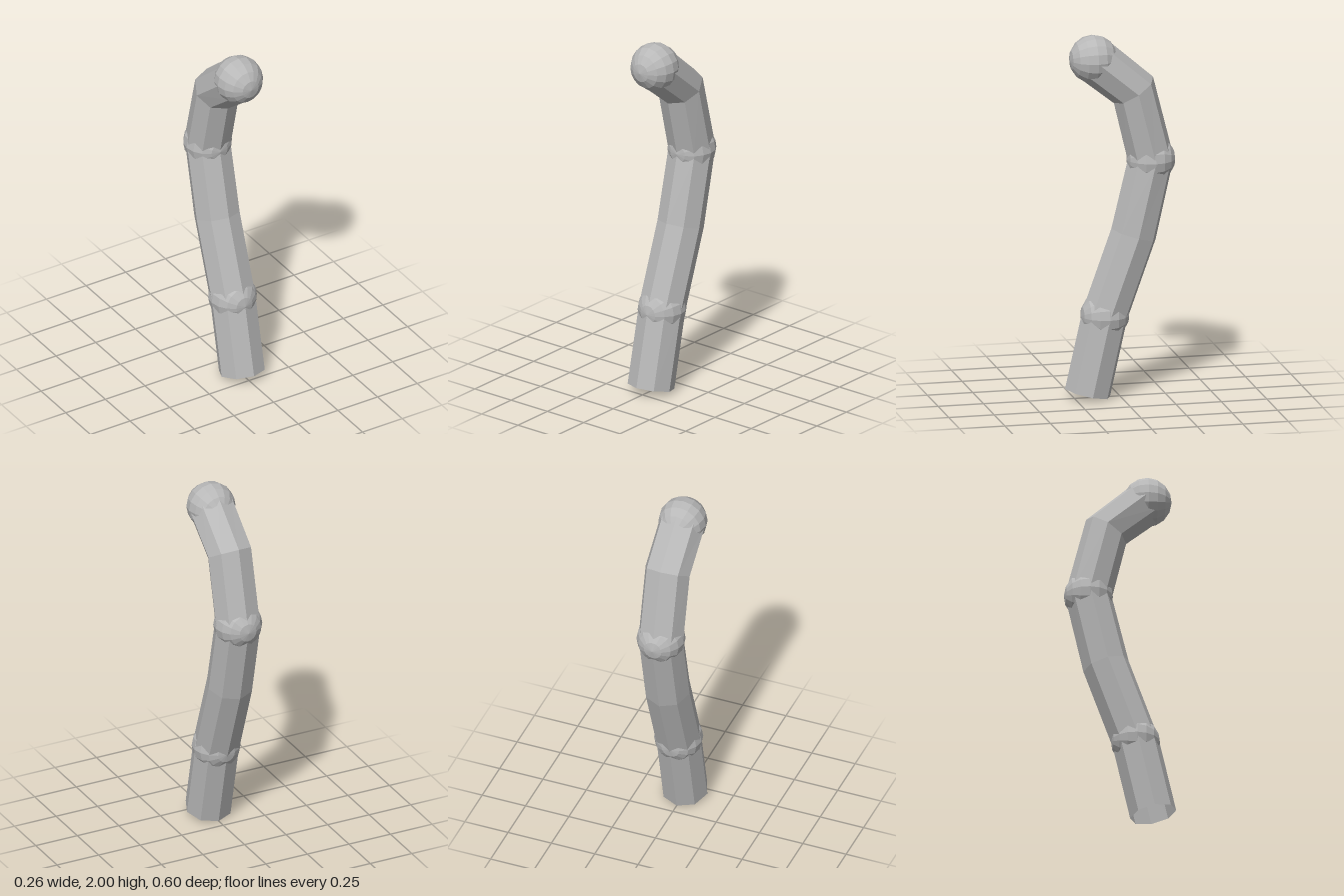
import * as THREE from 'three';

const RADIUS = 0.127;
const SIDES = 8;

// Sweeps an open octagonal tube through points lying in the x = 0 plane
function bentTube(path) {
  const positions = [], index = [];
  const across = new THREE.Vector3(1, 0, 0);
  path.forEach((p, i) => {
    // Each ring faces the average of its neighbouring segments
    const tangent = new THREE.Vector3();
    if (i > 0) tangent.add(p.clone().sub(path[i - 1]).normalize());
    if (i < path.length - 1) tangent.add(path[i + 1].clone().sub(p).normalize());
    const normal = across.clone().cross(tangent.normalize());
    for (let j = 0; j < SIDES; j++) {
      const a = (j / SIDES) * Math.PI * 2;
      const v = p.clone()
        .addScaledVector(across, Math.sin(a) * RADIUS)
        .addScaledVector(normal, Math.cos(a) * RADIUS);
      positions.push(v.x, v.y, v.z);
      if (i < path.length - 1) {
        const k = i * SIDES, n = (j + 1) % SIDES;
        index.push(k + j, k + n, k + SIDES + n, k + j, k + SIDES + n, k + SIDES + j);
      }
    }
  });
  const geometry = new THREE.BufferGeometry();
  geometry.setAttribute('position', new THREE.Float32BufferAttribute(positions, 3));
  geometry.setIndex(index);
  geometry.computeVertexNormals();
  return geometry;
}

export function createModel() {
  const group = new THREE.Group();
  group.name = 'bentPipe';
  const grey = new THREE.MeshStandardMaterial({
    color: 0xb8b8b8, flatShading: true, side: THREE.DoubleSide,
  });
  grey.name = 'grey';

  // Centre line from the open foot to the tip, as y, z
  const path = [
    [0.027, 0.178], [0.45, 0.083], [0.89, -0.075],
    [1.3, -0.17], [1.685, -0.075], [1.868, 0.145],
  ].map(([y, z]) => new THREE.Vector3(0, y, z));

  const tube = new THREE.Mesh(bentTube(path), grey);
  tube.name = 'tube';
  group.add(tube);

  // Ball joints and rounded tip, with their poles along z
  const ball = new THREE.SphereGeometry(0.132, 16, 8).rotateX(Math.PI / 2);
  [['lowerJoint', 1], ['upperJoint', 3], ['tipBall', 5]].forEach(([name, i]) => {
    const mesh = new THREE.Mesh(ball, grey);
    mesh.name = name;
    mesh.position.copy(path[i]);
    group.add(mesh);
  });
  return group;
}
